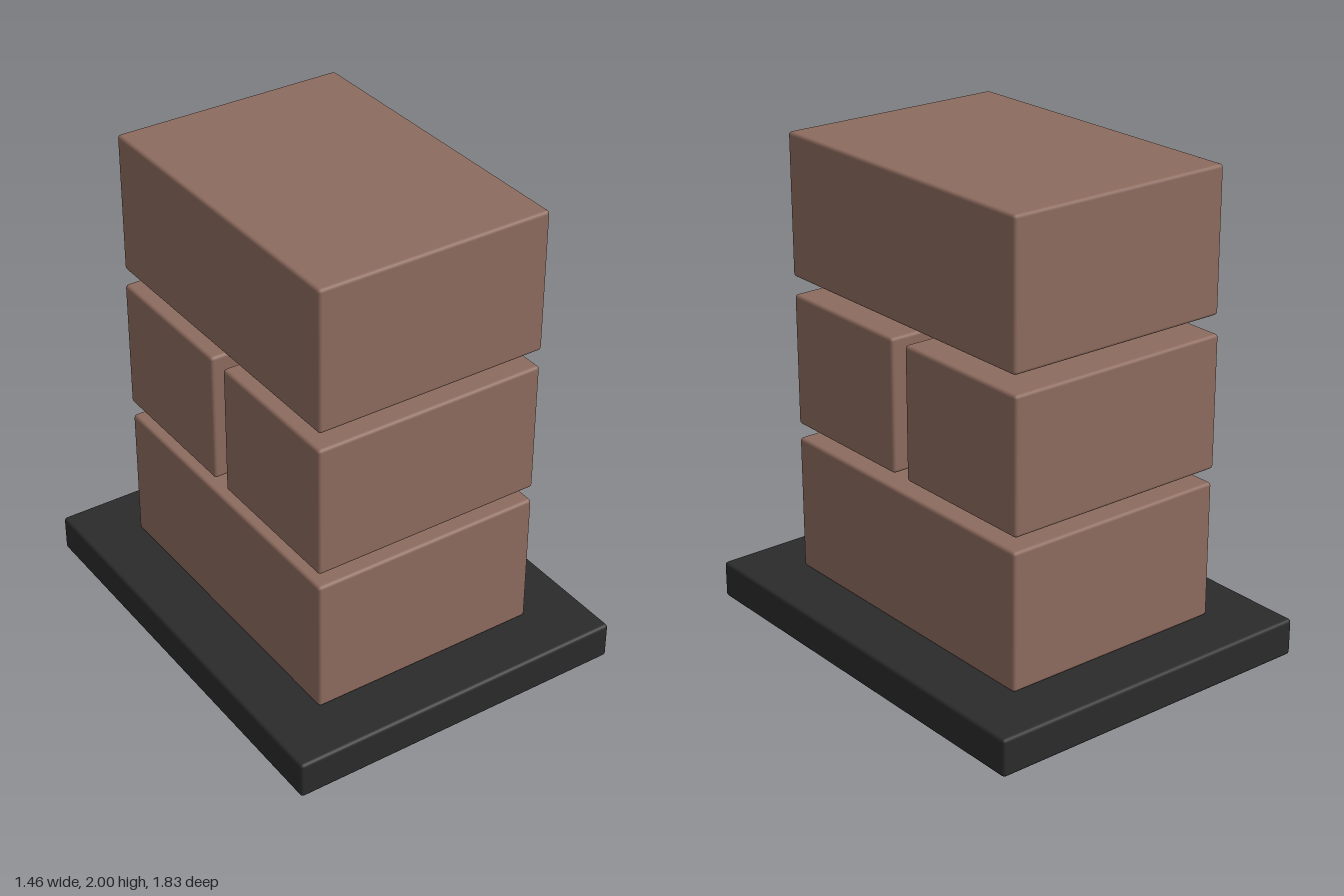
import * as THREE from 'three';
import { RoundedBoxGeometry } from 'three/addons/geometries/RoundedBoxGeometry.js';

export function createModel() {
  const model = new THREE.Group();
  model.name = 'brickPillar';

  const brick = new THREE.MeshStandardMaterial({ color: 0x8d6b5e });
  brick.name = 'brown brick';
  const slate = new THREE.MeshStandardMaterial({ color: 0x2b2b2b });
  slate.name = 'dark slate';

  // Softly bevelled block given by its extents
  function block(name, material, [x0, x1], [y0, y1], [z0, z1], bevel = 0.014) {
    const geometry = new RoundedBoxGeometry(x1 - x0, y1 - y0, z1 - z0, 2, bevel);
    const mesh = new THREE.Mesh(geometry, material);
    mesh.name = name;
    mesh.position.set((x0 + x1) / 2, (y0 + y1) / 2, (z0 + z1) / 2);
    model.add(mesh);
  }

  // Base slab
  block('baseSlab', slate, [-0.73, 0.73], [0, 0.156], [-0.917, 0.917]);

  // Recessed core, seen in the joints between the bricks
  block('core', brick, [-0.265, 0.265], [0.5, 1.6], [-0.4, 0.4], 0.005);

  // Three courses: the middle one is split into a front and a back brick
  const width = [-0.495, 0.49];
  block('bottomBrick', brick, width, [0.156, 0.73], [-0.68, 0.683]);
  block('middleFrontBrick', brick, width, [0.79, 1.342], [0.042, 0.683]);
  block('middleBackBrick', brick, width, [0.79, 1.342], [-0.687, -0.038]);
  block('topBrick', brick, width, [1.415, 2], [-0.68, 0.687]);

  return model;
}
